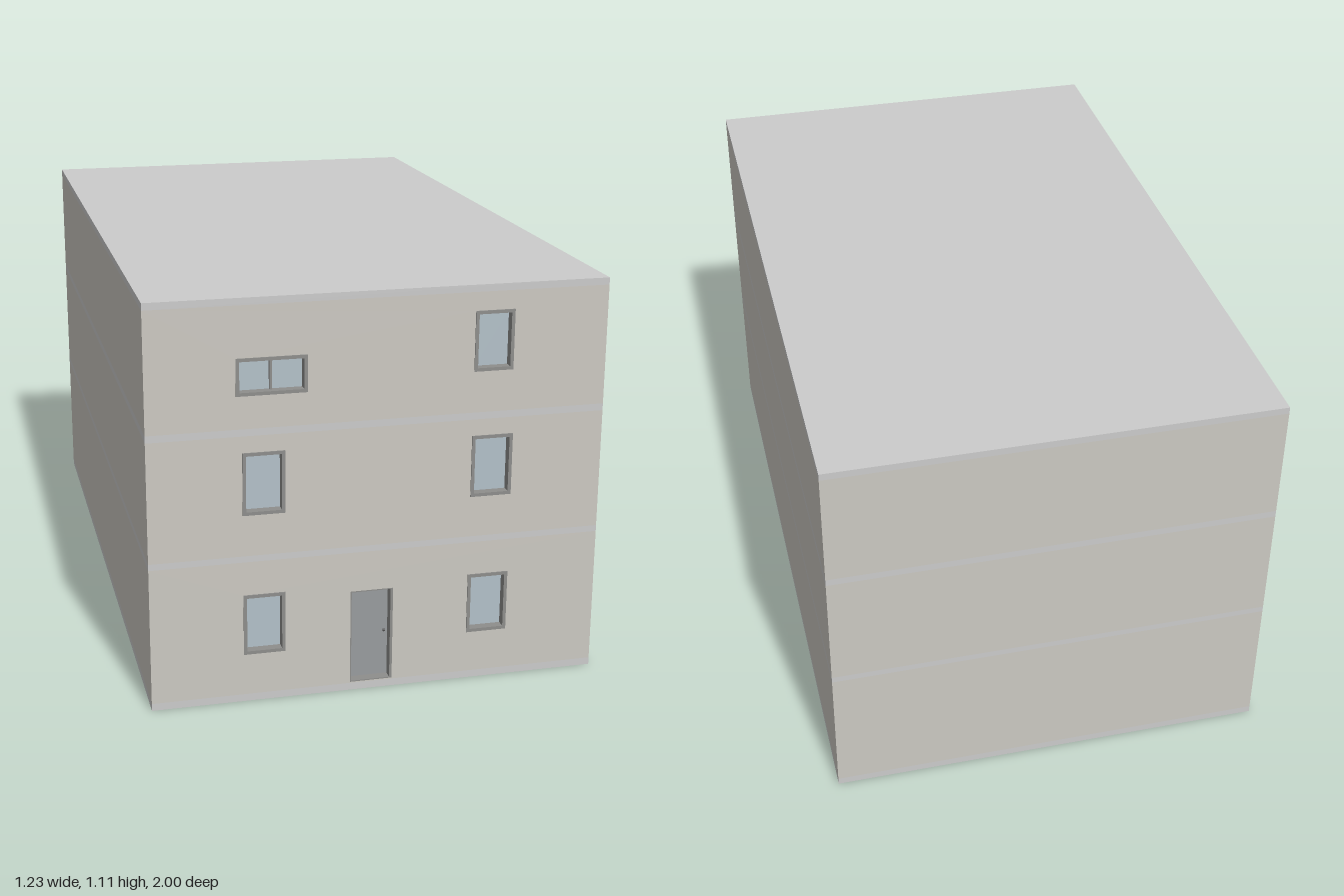
import * as THREE from 'three';

const W = 1.226, FRONT = 0.997, BACK = -1, T = 0.035;
const mat = (color) => new THREE.MeshStandardMaterial({ color });
const wallMat = mat(0xccc9c2), slabMat = mat(0xc0c0c0), frameMat = mat(0x8e8e8c);
const glassMat = mat(0xb3c1c9), doorMat = mat(0x999c9f), metalMat = mat(0x555555);

// Box given by its lower and upper corners
function block(name, material, x0, x1, y0, y1, z0, z1) {
  const mesh = new THREE.Mesh(new THREE.BoxGeometry(x1 - x0, y1 - y0, z1 - z0), material);
  mesh.position.set((x0 + x1) / 2, (y0 + y1) / 2, (z0 + z1) / 2);
  mesh.name = name;
  return mesh;
}

function outline(path, [x0, x1, y0, y1]) {
  path.moveTo(x0, y0);
  path.lineTo(x1, y0);
  path.lineTo(x1, y1);
  path.lineTo(x0, y1);
  path.closePath();
  return path;
}

// Upright panel with rectangular holes, from z0 to z1
function panel(name, material, rect, holes, z0, z1) {
  const shape = outline(new THREE.Shape(), rect);
  for (const h of holes) shape.holes.push(outline(new THREE.Path(), h));
  const geo = new THREE.ExtrudeGeometry(shape, { depth: z1 - z0, bevelEnabled: false });
  const mesh = new THREE.Mesh(geo, material);
  mesh.position.z = z0;
  mesh.name = name;
  return mesh;
}

// Frame, recessed pane and optional centre mullion
function makeWindow([x0, x1, y0, y1], mullion) {
  const g = new THREE.Group(), f = 0.009;
  g.name = 'window';
  g.add(panel('windowFrame', frameMat, [x0, x1, y0, y1], [[x0 + f, x1 - f, y0 + f, y1 - f]], FRONT - T, 1));
  g.add(block('windowPane', glassMat, x0 + f, x1 - f, y0 + f, y1 - f, 0.968, 0.975));
  if (mullion) {
    const c = (x0 + x1) / 2;
    g.add(block('mullion', frameMat, c - 0.003, c + 0.003, y0 + f, y1 - f, 0.97, 0.985));
  }
  return g;
}

function makeDoor([x0, x1, y0, y1]) {
  const g = new THREE.Group();
  g.name = 'door';
  g.add(panel('doorFrame', frameMat, [x0, x1, y0, y1],
    [[x0 + 0.003, x1 - 0.007, y0 + 0.003, y1 - 0.003]], FRONT - T, FRONT));
  g.add(block('doorLeaf', doorMat, x0 + 0.003, x1 - 0.007, y0 + 0.003, y1 - 0.003, 0.962, 0.97));
  const knob = new THREE.Mesh(new THREE.SphereGeometry(0.004, 12, 8), metalMat);
  knob.position.set(x1 - 0.017, (y0 + y1) / 2, 0.973);
  knob.name = 'doorKnob';
  g.add(knob);
  return g;
}

export function createModel() {
  const model = new THREE.Group();
  model.name = 'building';
  const h = W / 2;

  // Floor slabs and roof, flush with the walls
  const slabs = [[0, 0.02], [0.398, 0.415], [0.743, 0.762], [1.086, 1.105]];
  slabs.forEach(([y0, y1], i) =>
    model.add(block(i === 3 ? 'roofSlab' : 'floorSlab', slabMat, -h, h, y0, y1, BACK, FRONT)));

  // Openings of each storey
  const door = [-0.075, 0.042, 0.023, 0.287];
  const storeys = [
    [[-0.365, -0.253, 0.136, 0.305], [0.25, 0.362, 0.136, 0.305]],
    [[-0.365, -0.253, 0.528, 0.698], [0.25, 0.362, 0.528, 0.698]],
    [[-0.38, -0.194, 0.85, 0.949], [0.25, 0.356, 0.874, 1.036]],
  ];

  storeys.forEach((windows, i) => {
    const storey = new THREE.Group();
    storey.name = 'storey' + (i + 1);
    const y0 = slabs[i][1], y1 = slabs[i + 1][0];
    const holes = i === 0 ? [...windows, door] : windows;
    storey.add(panel('frontWall', wallMat, [-h, h, y0, y1], holes, FRONT - T, FRONT));
    storey.add(block('backWall', wallMat, -h, h, y0, y1, BACK, BACK + T));
    storey.add(block('rightWall', wallMat, -h, -h + T, y0, y1, BACK + T, FRONT - T));
    storey.add(block('leftWall', wallMat, h - T, h, y0, y1, BACK + T, FRONT - T));
    windows.forEach((w, j) => storey.add(makeWindow(w, i === 2 && j === 0)));
    if (i === 0) storey.add(makeDoor(door));
    model.add(storey);
  });
  return model;
}
